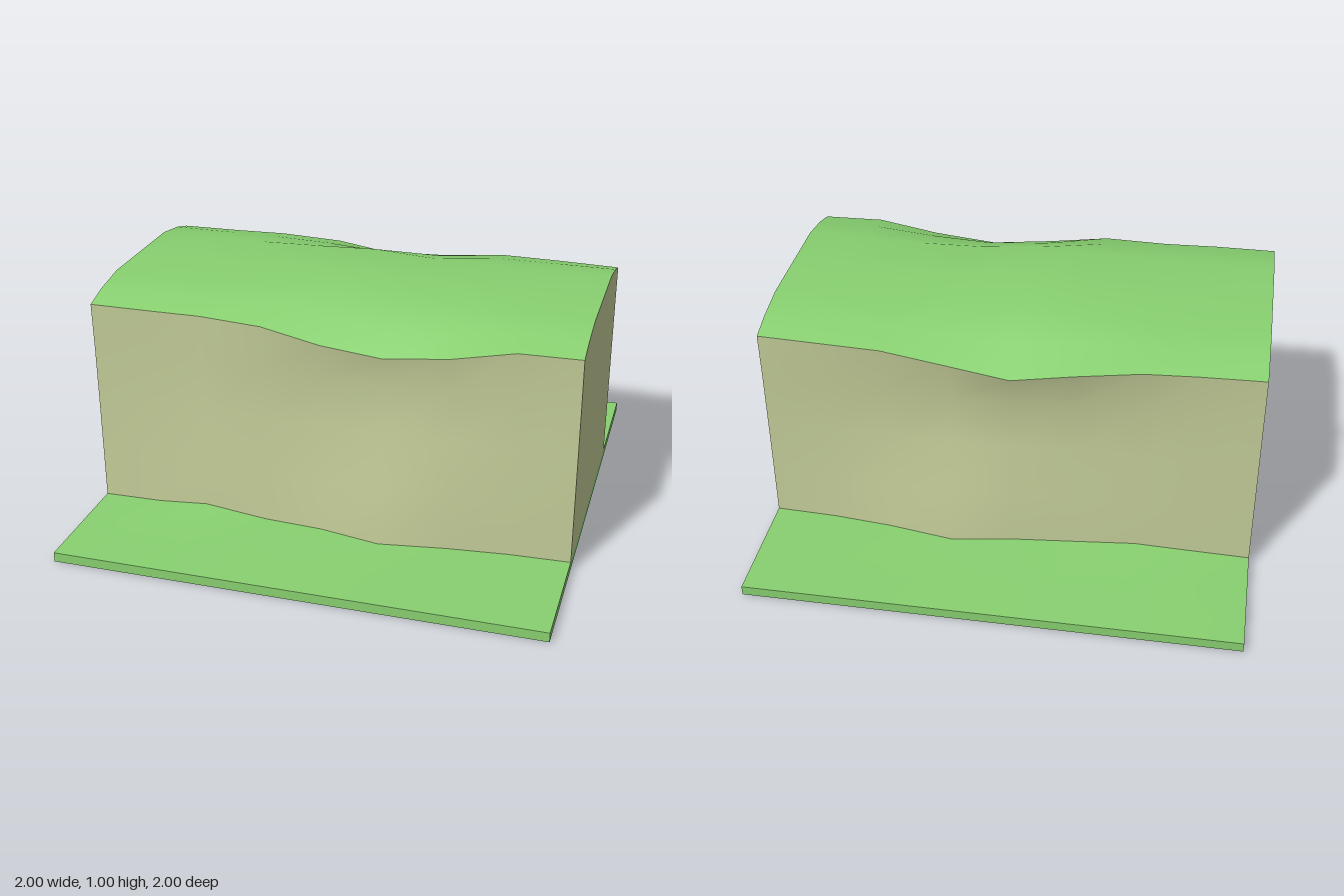
import * as THREE from 'three';

const grass = new THREE.MeshStandardMaterial({ color: 0x88d070, side: THREE.DoubleSide });
const earth = new THREE.MeshStandardMaterial({ color: 0xc3cc98, side: THREE.DoubleSide });

// Stations along the ridge, and what varies at each of them
const X = [-1, -0.75, -0.53, -0.27, -0.02, 0.23, 0.5, 0.75, 1];
const crest = [0, 0, 0.002, 0.012, 0.027, 0.008, 0, 0, 0];
const sides = {
  front: {
    dir: 1,
    rimY: [0.92, 0.92, 0.918, 0.912, 0.868, 0.84, 0.87, 0.92, 0.92],
    rimZ: [0.507, 0.507, 0.5, 0.52, 0.535, 0.53, 0.525, 0.515, 0.507],
    footZ: [0.5, 0.51, 0.53, 0.522, 0.545, 0.585, 0.535, 0.51, 0.5],
    footY: [0.04, 0.05, 0.08, 0.045, 0.05, 0.045, 0.04, 0.04, 0.04],
  },
  back: {
    dir: -1,
    rimY: [0.92, 0.92, 0.92, 0.9, 0.86, 0.885, 0.918, 0.92, 0.92],
    rimZ: [0.507, 0.515, 0.53, 0.56, 0.568, 0.545, 0.53, 0.52, 0.507],
    footZ: [0.5, 0.505, 0.515, 0.525, 0.545, 0.585, 0.535, 0.51, 0.5],
    footY: [0.04, 0.05, 0.065, 0.05, 0.045, 0.045, 0.04, 0.04, 0.04],
  },
};

function addMesh(group, name, geometry, material) {
  const mesh = new THREE.Mesh(geometry, material);
  mesh.name = name;
  group.add(mesh);
  return mesh;
}

// Smooth sheet through one [y, z] cross-section per station
function sheet(section) {
  const pos = [], index = [];
  const n = section(0).length;
  X.forEach((x, i) => section(i).forEach(([y, z]) => pos.push(x, y, z)));
  for (let i = 0; i < X.length - 1; i++) {
    for (let j = 0; j < n - 1; j++) {
      const a = i * n + j, b = a + n;
      index.push(a, b, b + 1, a, b + 1, a + 1);
    }
  }
  const geometry = new THREE.BufferGeometry();
  geometry.setAttribute('position', new THREE.Float32BufferAttribute(pos, 3));
  geometry.setIndex(index);
  geometry.computeVertexNormals();
  return geometry;
}

// Wall section from foot to rim: flared foot, straight middle, overhanging rim
function wallSection(s, i) {
  const flare = s.footZ[i] - 0.5;
  return [
    [s.footY[i], s.footZ[i]],
    [0.27, 0.5 + flare * 0.75],
    [0.5, 0.5 + flare * 0.18],
    [0.72, 0.5 + (s.rimZ[i] - 0.5) * 0.2],
    [s.rimY[i], s.rimZ[i]],
  ].map(([y, z]) => [y, z * s.dir]);
}

// Ground section from the plate edge to the foot of the wall
function groundSection(s, i) {
  const rise = s.footY[i] - 0.04;
  return [
    [0.04, 1],
    [0.04 + rise * 0.2, 0.85],
    [0.04 + rise * 0.35, 0.7],
    [s.footY[i], s.footZ[i]],
  ].map(([y, z]) => [y, z * s.dir]);
}

// Domed turf section from front rim to back rim
function turfSection(i) {
  const { front, back } = sides;
  const shoulder = (s) => 0.95 - (0.92 - s.rimY[i]) * 0.5 + crest[i] * 0.3;
  const y = 0.974 + crest[i];
  return [
    [front.rimY[i], front.rimZ[i]],
    [shoulder(front), 0.4],
    [y - (0.92 - front.rimY[i]) * 0.1, 0.25],
    [y, 0],
    [y - (0.92 - back.rimY[i]) * 0.15, -0.25],
    [shoulder(back), -0.4],
    [back.rimY[i], -back.rimZ[i]],
  ];
}

export function createModel() {
  const model = new THREE.Group();
  model.name = 'cliffTile';

  // Base plate, open on top where the ground sheets lie
  const plate = new THREE.BoxGeometry(2, 0.04, 2);
  const faces = Array.from(plate.index.array);
  faces.splice(12, 6);
  plate.setIndex(faces);
  plate.translate(0, 0.02, 0);
  addMesh(model, 'basePlate', plate, grass);

  // Ground and earth wall on both long sides
  for (const [name, s] of Object.entries(sides)) {
    const order = (points) => (s.dir > 0 ? points : points.reverse());
    addMesh(model, name + 'Ground', sheet((i) => order(groundSection(s, i))), grass);
    addMesh(model, name + 'Wall', sheet((i) => order(wallSection(s, i))), earth);
  }

  // Turf on top of the ridge
  addMesh(model, 'turfTop', sheet(turfSection), grass);

  // Flat earth ends that close the ridge
  for (const dir of [1, -1]) {
    const i = dir > 0 ? X.length - 1 : 0;
    const outline = [
      ...wallSection(sides.front, i),
      ...turfSection(i).slice(1, -1),
      ...wallSection(sides.back, i).reverse(),
    ].map(([y, z]) => new THREE.Vector2(-z * dir, y));
    const end = addMesh(model, dir > 0 ? 'leftEnd' : 'rightEnd',
      new THREE.ShapeGeometry(new THREE.Shape(outline)), earth);
    end.rotation.y = dir * Math.PI / 2;
    end.position.x = dir;
  }
  return model;
}
